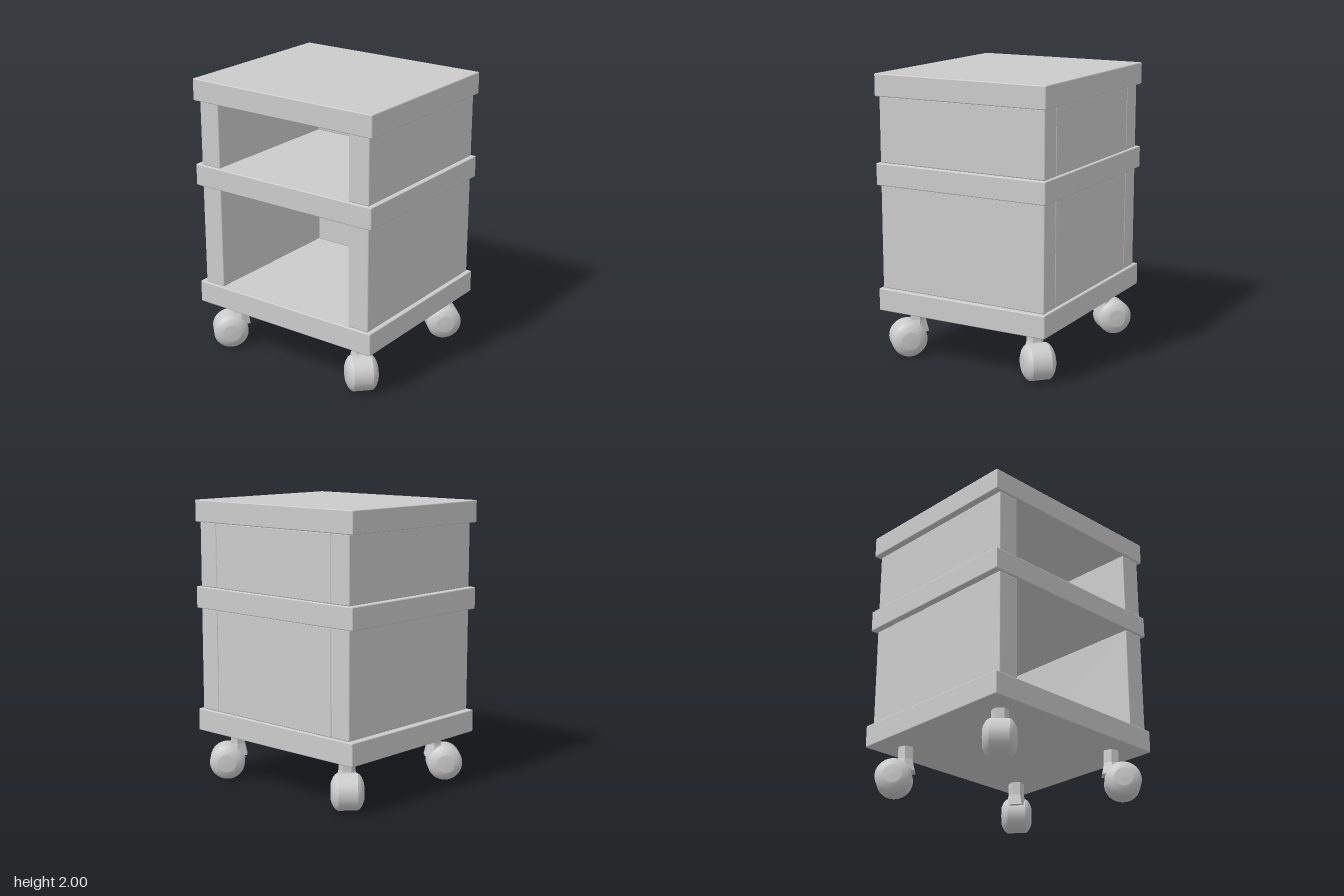
import * as THREE from 'three';
import { RoundedBoxGeometry } from 'three/addons/geometries/RoundedBoxGeometry.js';

const material = new THREE.MeshStandardMaterial({ color: 0xcccccc });
const flatMaterial = new THREE.MeshStandardMaterial({ color: 0xcccccc, flatShading: true });

// Softly bevelled board given by its minimum and maximum corners
function board(name, [x0, y0, z0], [x1, y1, z1]) {
  const geometry = new RoundedBoxGeometry(x1 - x0, y1 - y0, z1 - z0, 2, 0.008);
  const mesh = new THREE.Mesh(geometry, material);
  mesh.position.set((x0 + x1) / 2, (y0 + y1) / 2, (z0 + z1) / 2);
  mesh.name = name;
  return mesh;
}

// Caster rolling along local +x, axle along local z, origin under the wheel centre
function caster() {
  const group = new THREE.Group();
  group.name = 'caster';
  const r = 0.125, half = 0.065;

  const tread = new THREE.Mesh(new THREE.CylinderGeometry(r, r, half * 2, 40, 1, true), material);
  tread.name = 'wheelTread';
  tread.rotation.x = Math.PI / 2;
  tread.position.y = r;
  group.add(tread);

  // Shallow domed hub covers on both sides
  const profile = [[r, 0], [0.114, 0.017], [0.095, 0.031], [0.07, 0.042], [0.06, 0.045], [0, 0.047]]
    .map(([x, y]) => new THREE.Vector2(x, y));
  const domeGeometry = new THREE.LatheGeometry(profile, 40);
  for (const s of [-1, 1]) {
    const dome = new THREE.Mesh(domeGeometry, material);
    dome.name = 'wheelCover';
    dome.rotation.x = s * Math.PI / 2;
    dome.position.set(0, r, s * half);
    group.add(dome);
  }

  // Faceted post and the flared neck that grips the wheel
  const post = new THREE.Mesh(new THREE.CylinderGeometry(0.057, 0.057, 0.1, 6), flatMaterial);
  post.name = 'casterPost';
  post.position.set(-0.075, 0.305, 0);
  const neck = new THREE.Mesh(new THREE.CylinderGeometry(0.057, 0.078, 0.085, 6), flatMaterial);
  neck.name = 'casterNeck';
  neck.position.set(-0.075, 0.2125, 0);
  group.add(post, neck);
  return group;
}

export function createModel() {
  const model = new THREE.Group();
  model.name = 'rollingCabinet';

  // Horizontal shelves
  const shelves = [['bottomShelf', 0.345, 0.505], ['middleShelf', 1.235, 1.39], ['topShelf', 1.845, 2]];
  for (const [name, y0, y1] of shelves) {
    model.add(board(name, [-0.74, y0, -0.65], [0.74, y1, 0.65]));
  }

  // Side and back boards of the two open compartments
  for (const [level, y0, y1] of [['lower', 0.504, 1.236], ['upper', 1.389, 1.846]]) {
    model.add(
      board(level + 'RightSide', [-0.695, y0, -0.63], [-0.535, y1, 0.633]),
      board(level + 'LeftSide', [0.55, y0, -0.63], [0.71, y1, 0.633]),
      board(level + 'Back', [-0.535, y0, -0.63], [0.55, y1, -0.49]),
    );
  }

  // Casters turned to roll outward from each corner
  for (const sx of [-1, 1]) {
    for (const sz of [-1, 1]) {
      const wheel = caster();
      wheel.position.set(sx * 0.583, 0, sz * 0.52);
      wheel.rotation.y = Math.atan2(-sz, sx);
      model.add(wheel);
    }
  }
  return model;
}
